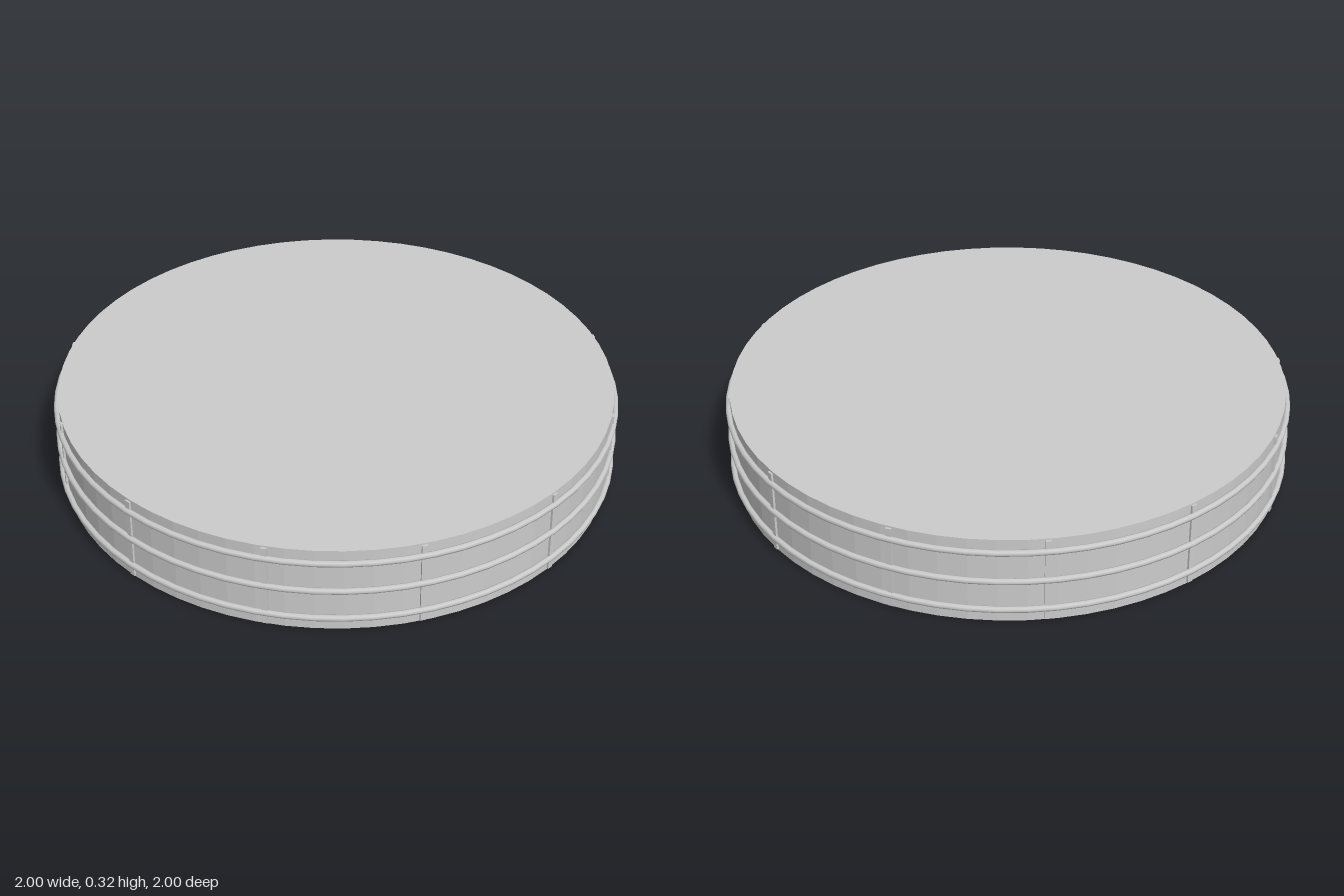
import * as THREE from 'three';

const HEIGHT = 0.32, RADIUS = 0.982, SEGMENTS = 64;

export function createModel() {
  const model = new THREE.Group();
  model.name = 'bandedDisc';
  const flat = new THREE.MeshStandardMaterial({ color: 0xcccccc, flatShading: true });
  const smooth = new THREE.MeshStandardMaterial({ color: 0xcccccc });

  const add = (name, geometry, material) => {
    const mesh = new THREE.Mesh(geometry, material);
    mesh.name = name;
    model.add(mesh);
    return mesh;
  };

  // Solid drum
  add('body', new THREE.CylinderGeometry(RADIUS, RADIUS, HEIGHT, SEGMENTS), flat)
    .position.y = HEIGHT / 2;

  // Three round hoops around the wall
  const hoop = new THREE.TorusGeometry(0.989, 0.011, 8, SEGMENTS).rotateX(Math.PI / 2);
  [0.05, 0.162, 0.274].forEach((y, i) => {
    add(`hoop${i + 1}`, hoop, smooth).position.y = y;
  });

  // Twelve thin upright battens, sunk into the wall
  const batten = new THREE.BoxGeometry(0.02, HEIGHT - 0.012, 0.02);
  for (let i = 0; i < 12; i++) {
    const angle = (i / 12) * Math.PI * 2;
    const mesh = add(`batten${i + 1}`, batten, flat);
    mesh.position.set(Math.sin(angle) * 0.979, HEIGHT / 2, Math.cos(angle) * 0.979);
    mesh.rotation.y = angle;
  }

  return model;
}
